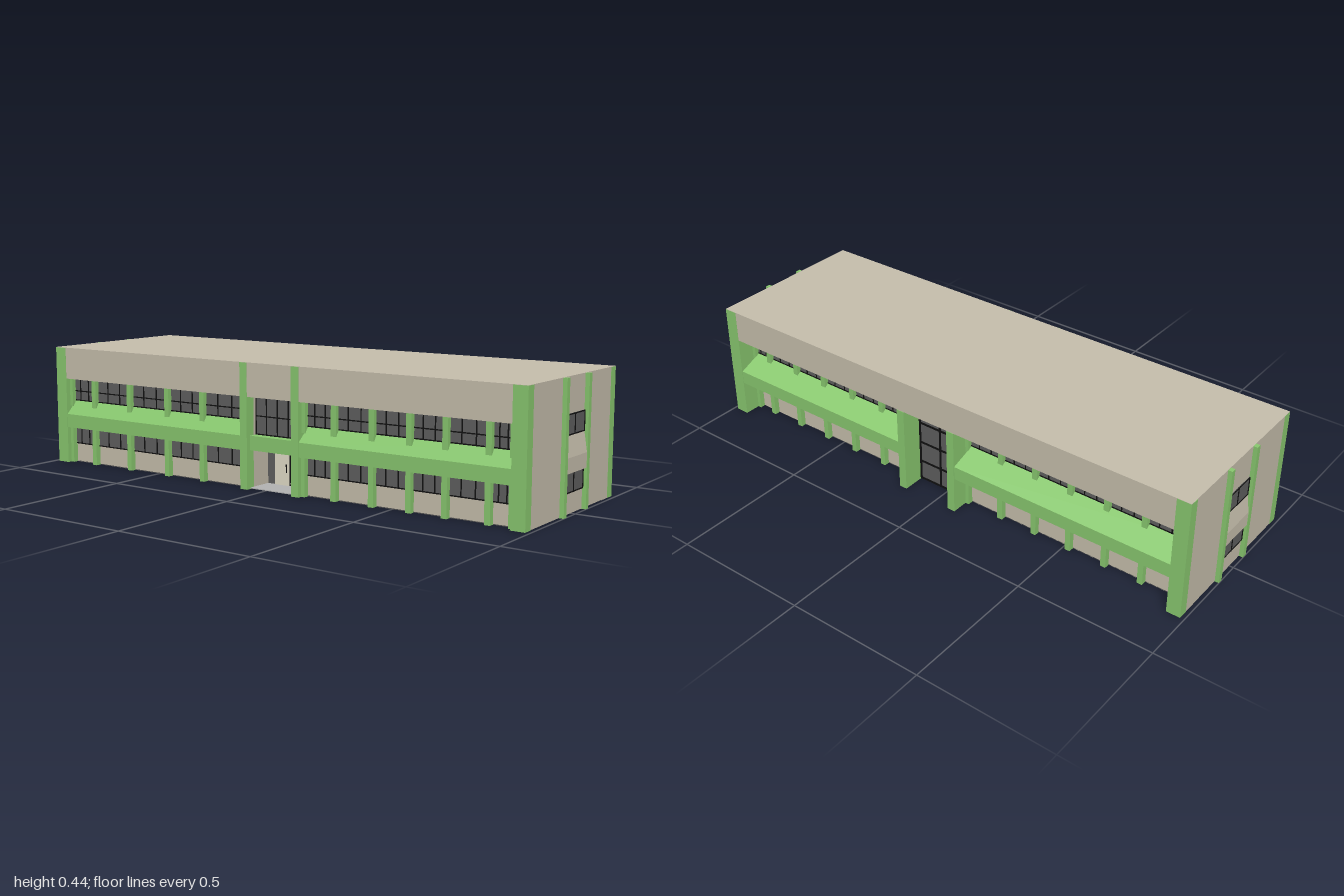
import * as THREE from 'three';

const mat = (color) => new THREE.MeshStandardMaterial({ color, flatShading: true });
const TAN = mat(0xc8c0ae), GREEN = mat(0x8aca70), GLASS = mat(0x606060);
const FRAME = mat(0x111111), CREAM = mat(0xe4dfcb), SLAB = mat(0x555555), FLOOR = mat(0xb4b4b4);

const H = 0.437, X = 0.985, Z = 0.315;
const FRONT = 0.28, BACK = 0.235;          // distance of the recessed walls from the centre
const CENTRE = [-0.062, 0.125];            // stair hall between the two central columns
const COLUMNS = [[-0.092, -0.062], [0.125, 0.155]];

// Box given by its limits along x, y and z
function box(parent, name, material, x0, x1, y0, y1, z0, z1) {
  const m = new THREE.Mesh(new THREE.BoxGeometry(x1 - x0, y1 - y0, z1 - z0), material);
  m.position.set((x0 + x1) / 2, (y0 + y1) / 2, (z0 + z1) / 2);
  m.name = name;
  parent.add(m);
  return m;
}

// Glazing facing +z in its parent: pane, border and inner bars
function glazing(parent, x0, x1, y0, y1, z, verticals, horizontals, t = 0.004) {
  const g = new THREE.Group();
  g.name = 'window';
  box(g, 'pane', GLASS, x0, x1, y0, y1, z, z + 0.002);
  for (const x of [x0 + t / 2, ...verticals, x1 - t / 2])
    box(g, 'windowBar', FRAME, x - t / 2, x + t / 2, y0, y1, z, z + 0.004);
  for (const y of [y0 + t / 2, ...horizontals, y1 - t / 2])
    box(g, 'windowBar', FRAME, x0, x1, y - t / 2, y + t / 2, z, z + 0.0035);
  parent.add(g);
}

// Spandrel: upright lower part, upper part sloping back to the wall with mitred ends
function spandrel(parent, material, x0, x1, wall, depth, y0, yMid, yTop, inset) {
  const geo = new THREE.BoxGeometry(x1 - x0, 2, depth, 1, 2, 1);
  const p = geo.attributes.position;
  for (let i = 0; i < p.count; i++) {
    const level = Math.round(p.getY(i)) + 1;
    p.setY(i, [y0, yMid, yTop][level]);
    if (level === 2) {
      p.setX(i, p.getX(i) - Math.sign(p.getX(i)) * inset);
      p.setZ(i, -depth / 2 + (p.getZ(i) > 0 ? 0.002 : 0));
    }
  }
  const flat = geo.toNonIndexed();
  flat.computeVertexNormals();
  const m = new THREE.Mesh(flat, material);
  m.position.set((x0 + x1) / 2, 0, wall + depth / 2);
  m.name = 'spandrel';
  parent.add(m);
}

// One wing of a long facade, facing +z, with its windows, spandrel and small posts
function wing(parent, x0, x1, wall, out, posts) {
  const g = new THREE.Group();
  g.name = 'facadeWing';
  spandrel(g, GREEN, x0, x1, wall, out - wall, 0.135, 0.185, 0.235, 0.015);
  const stops = [x0, ...posts, x1];
  for (let i = 0; i + 1 < stops.length; i++) {
    const a = stops[i], b = stops[i + 1], w = b - a;
    const bars = [a + w / 3, a + 2 * w / 3];
    glazing(g, a, b, 0.07, 0.135, wall, bars, []);
    glazing(g, a, b, 0.235, 0.32, wall, bars, [0.272]);
  }
  for (const x of [x0 + 0.007, ...posts, x1 - 0.007]) {
    const r = Math.min(0.01, x - x0, x1 - x);
    box(g, 'lowerPost', GREEN, x - r, x + r, 0, 0.135, wall, wall + 0.02);
    box(g, 'upperPost', GREEN, x - r, x + r, 0.215, 0.32, wall, wall + 0.018);
  }
  parent.add(g);
}

export function createModel() {
  const model = new THREE.Group();
  model.name = 'building';

  // Main volume, leaving the entrance recess open at the front centre
  const body = new THREE.Group();
  body.name = 'body';
  box(body, 'baseSlab', SLAB, -X + 0.002, X - 0.002, 0, 0.003, -BACK, FRONT);
  box(body, 'leftWall', TAN, CENTRE[1], X, 0.001, 0.32, -BACK, FRONT);
  box(body, 'rightWall', TAN, -X, CENTRE[0], 0.001, 0.32, -BACK, FRONT);
  box(body, 'hallGround', TAN, CENTRE[0], CENTRE[1], 0.003, 0.135, -BACK, 0.1);
  box(body, 'hallUpper', TAN, CENTRE[0], CENTRE[1], 0.135, 0.32, -BACK, 0.265);
  box(body, 'roofBlock', TAN, -X, X, 0.32, H, -Z, Z);
  model.add(body);

  // Corner columns, with a plain skin on the side walls behind the back ones
  for (const s of [-1, 1]) {
    const span = (a, b) => (s > 0 ? [a, b] : [-b, -a]);
    const [c0, c1] = span(0.935, X + 0.0005);
    box(model, 'frontCornerColumn', GREEN, c0, c1, 0, H - 0.001, FRONT, Z + 0.0005);
    box(model, 'backCornerColumn', GREEN, c0, c1, 0, H - 0.001, -Z - 0.0005, -0.28);
    const [i0, i1] = span(0.935, 0.98);
    box(model, 'backColumnReturn', GREEN, i0, i1, 0, 0.32, -0.28, -BACK);
    const [k0, k1] = span(0.98, X);
    box(model, 'sideWallSkin', TAN, k0, k1, 0, 0.32, -0.28, -BACK);
  }

  // Central columns on both long sides
  for (const [a, b] of COLUMNS) {
    box(model, 'frontCentralColumn', GREEN, a, b, 0, H - 0.001, 0.2, Z + 0.002);
    box(model, 'backCentralColumn', GREEN, a, b, 0, 0.32, -Z - 0.002, -BACK);
  }

  // Front facade
  const front = new THREE.Group();
  front.name = 'frontFacade';
  wing(front, -0.935, -0.092, FRONT, Z - 0.001, [-0.81, -0.63, -0.445, -0.28]);
  wing(front, 0.155, 0.935, FRONT, Z - 0.001, [0.283, 0.43, 0.57, 0.7, 0.85]);
  glazing(front, CENTRE[0], CENTRE[1], 0.185, 0.32, 0.265, [-0.015, 0.0315, 0.078], [0.25]);
  box(front, 'entranceBeam', GREEN, CENTRE[0], CENTRE[1], 0.135, 0.185, 0.25, 0.3);
  model.add(front);

  // Entrance: floor, dark side panels, door and inner stair
  const entrance = new THREE.Group();
  entrance.name = 'entrance';
  box(entrance, 'entranceFloor', FLOOR, CENTRE[0], CENTRE[1], 0.002, 0.005, 0.1, 0.3);
  box(entrance, 'recessWall', GLASS, CENTRE[0], CENTRE[1], 0.005, 0.135, 0.1, 0.102);
  box(entrance, 'sidePanel', GLASS, CENTRE[0], -0.03, 0.005, 0.135, 0.196, 0.2);
  box(entrance, 'sidePanel', GLASS, 0.095, CENTRE[1], 0.005, 0.135, 0.196, 0.2);
  box(entrance, 'doorFrame', FRAME, -0.034, 0.034, 0.005, 0.134, 0.194, 0.199);
  box(entrance, 'door', CREAM, -0.03, 0.03, 0.005, 0.13, 0.198, 0.203);
  box(entrance, 'doorHandle', FRAME, 0.02, 0.023, 0.05, 0.08, 0.203, 0.207);
  for (let i = 0; i < 8; i++) {
    const z = 0.2 - i * 0.0115, top = 0.005 + (i + 1) * 0.0138;
    box(entrance, 'stairRiser', CREAM, 0.036, 0.092, 0.005, top - 0.002, 0.102, z);
    box(entrance, 'stairTread', FRAME, 0.036, 0.092, top - 0.002, top, 0.102, z);
  }
  model.add(entrance);

  // Back facade, built facing +z and turned round
  const back = new THREE.Group();
  back.name = 'backFacade';
  wing(back, -0.935, -0.155, BACK, Z - 0.001, [-0.85, -0.71, -0.57, -0.43, -0.29]);
  wing(back, 0.092, 0.935, BACK, Z - 0.001, [0.24, 0.38, 0.52, 0.66, 0.8]);
  glazing(back, -CENTRE[1], -CENTRE[0], 0.003, 0.32, BACK, [-0.0315], [0.08, 0.16, 0.24], 0.008);
  back.rotation.y = Math.PI;
  model.add(back);

  // End walls: two fins with stacked windows and a sloped panel between
  for (const s of [-1, 1]) {
    const end = new THREE.Group();
    end.name = s > 0 ? 'leftEnd' : 'rightEnd';
    const flip = (a, b) => (s > 0 ? [a, b] : [-b, -a]);
    for (const [a, b] of [[-0.084, -0.065], [0.079, 0.097]]) {
      const [f0, f1] = flip(a, b);
      box(end, 'fin', GREEN, f0, f1, 0, H - 0.001, X - 0.005, 1);
    }
    const [p0, p1] = flip(-0.065, 0.079), mid = (p0 + p1) / 2;
    for (const y of [0.068, 0.252]) glazing(end, p0, p1, y, y + 0.068, X, [mid], []);
    spandrel(end, TAN, p0, p1, X, 0.013, 0.135, 0.185, 0.252, 0);
    end.rotation.y = s * Math.PI / 2;
    model.add(end);
  }
  return model;
}
